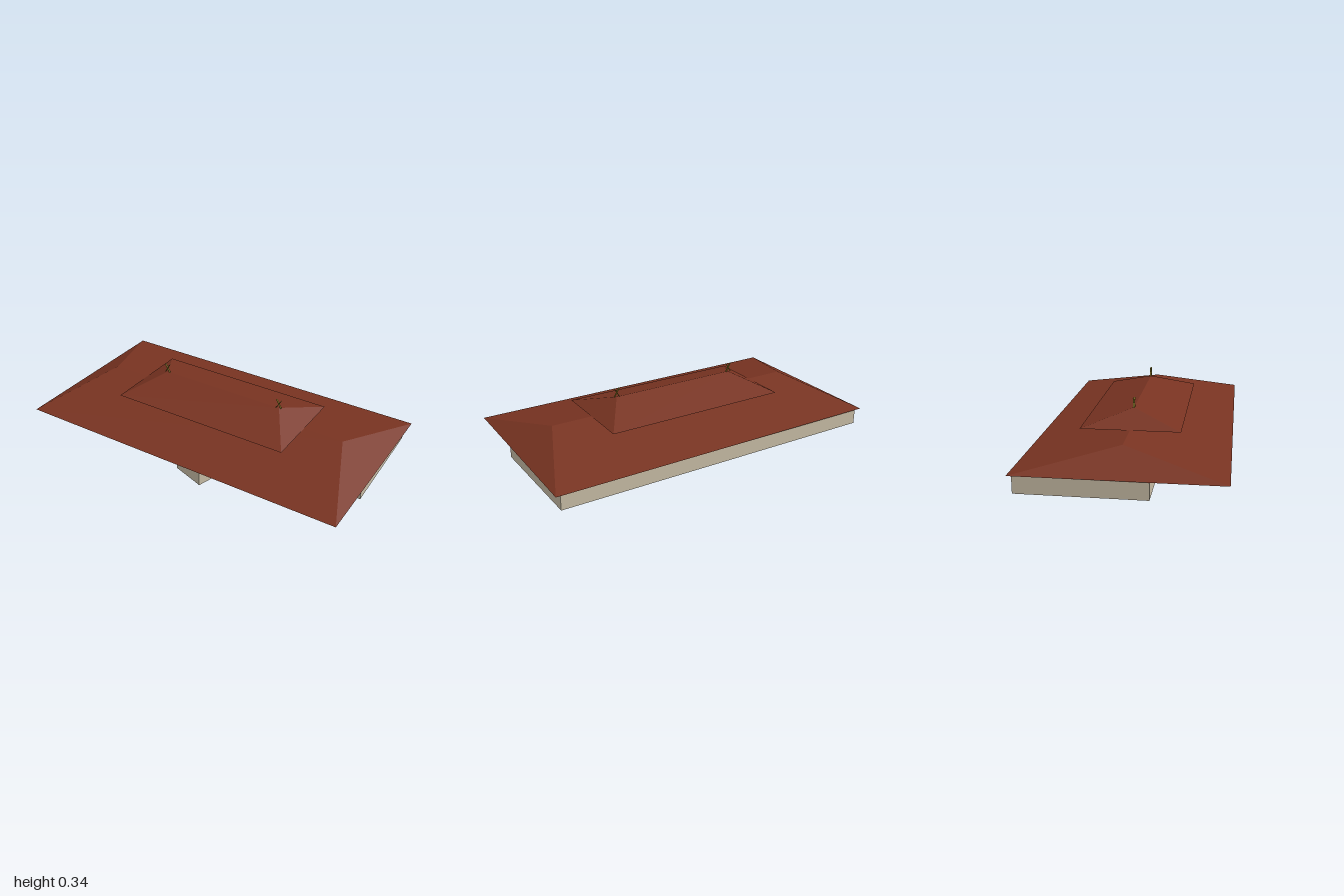
import * as THREE from 'three';

const roofBrown = new THREE.MeshStandardMaterial({ color: 0x783321, side: THREE.DoubleSide });
roofBrown.name = 'roofBrown';
const wallBeige = new THREE.MeshStandardMaterial({ color: 0xc6bba4, side: THREE.DoubleSide });
wallBeige.name = 'wallBeige';
const finialGold = new THREE.MeshStandardMaterial({ color: 0x978526 });
finialGold.name = 'finialGold';

const EAVE = 0.098;

// Flat-shaded sheet from polygons, each fanned into triangles
function sheet(name, polygons, material) {
  const pos = [];
  for (const p of polygons) {
    for (let i = 1; i < p.length - 1; i++) pos.push(...p[0], ...p[i], ...p[i + 1]);
  }
  const geometry = new THREE.BufferGeometry();
  geometry.setAttribute('position', new THREE.Float32BufferAttribute(pos, 3));
  geometry.computeVertexNormals();
  const mesh = new THREE.Mesh(geometry, material);
  mesh.name = name;
  return mesh;
}

// Open hip roof: eave half sizes, ridge half length, eave and ridge heights
function hipRoof(name, hx, hz, ridge, y0, y1) {
  const a = [-hx, y0, hz], b = [hx, y0, hz], c = [hx, y0, -hz], d = [-hx, y0, -hz];
  const left = [ridge, y1, 0], right = [-ridge, y1, 0];
  return sheet(name, [[a, b, left, right], [b, c, left], [c, d, right, left], [d, a, right]], roofBrown);
}

export function createModel() {
  const model = new THREE.Group();
  model.name = 'hall';
  const building = new THREE.Group();
  building.name = 'building';
  building.rotation.y = -0.0176; // the whole hall stands slightly askew
  model.add(building);

  // Thin walls following the floor plan, with the slanted porch in front
  const plan = [
    [-0.97, 0.155], [0.086, 0.157], [-0.01, 0.45], [0.181, 0.512],
    [0.287, 0.157], [0.968, 0.157], [0.956, -0.503], [-0.966, -0.511],
  ];
  const panels = plan.map(([x, z], i) => {
    const [u, w] = plan[(i + 1) % plan.length];
    return [[x, 0, z], [u, 0, w], [u, EAVE, w], [x, EAVE, z]];
  });
  building.add(sheet('walls', panels, wallBeige));

  // Flat ceiling closing the top of the walls
  const outline = new THREE.Shape(plan.map(([x, z]) => new THREE.Vector2(x, z)));
  const ceiling = new THREE.Mesh(new THREE.ShapeGeometry(outline), roofBrown);
  ceiling.name = 'ceiling';
  ceiling.rotation.x = Math.PI / 2;
  ceiling.position.y = EAVE;
  building.add(ceiling);

  // Two stacked hip roofs
  building.add(hipRoof('lowerRoof', 0.99, 0.531, 0.777, EAVE, 0.207));
  building.add(hipRoof('upperRoof', 0.543, 0.267, 0.382, 0.207, 0.289));

  // Crossed finials on both ends of the ridge
  for (const side of [-1, 1]) {
    const finial = new THREE.Group();
    finial.name = side > 0 ? 'leftFinial' : 'rightFinial';
    finial.position.set(side * 0.381, 0.315, 0);
    for (const lean of [-1, 1]) {
      const bar = new THREE.Mesh(new THREE.BoxGeometry(0.003, 0.06, 0.01), finialGold);
      bar.name = 'finialBar';
      bar.rotation.z = lean * 0.54;
      finial.add(bar);
    }
    building.add(finial);
  }
  return model;
}
